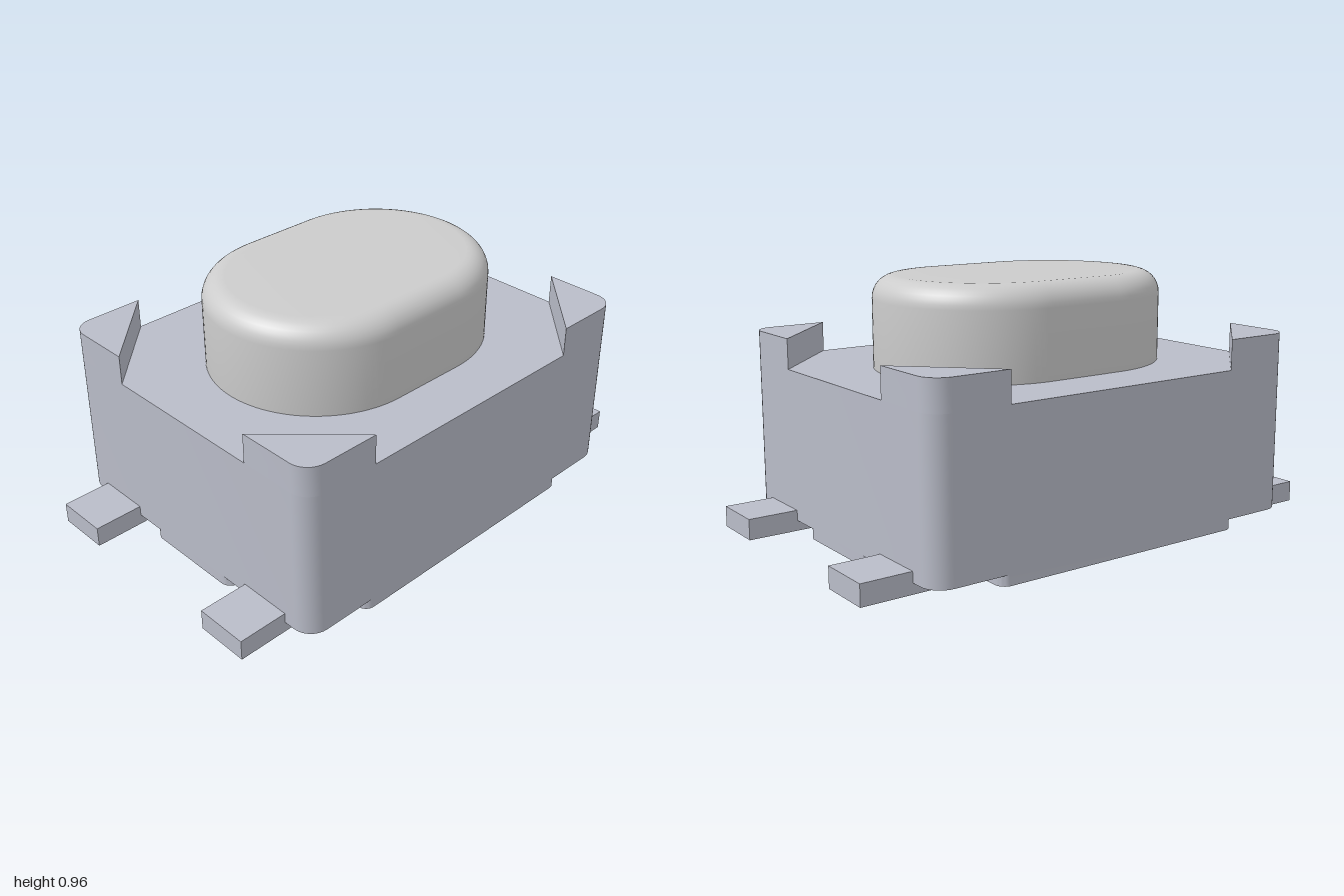
import * as THREE from 'three';
import { toCreasedNormals } from 'three/addons/utils/BufferGeometryUtils.js';

const housing = new THREE.MeshStandardMaterial({ color: 0xb9bcc8 });
const grey = new THREE.MeshStandardMaterial({ color: 0xcccccc });

// Closed outline from [x, z, radius] corners, with rounded right angles
function outline(corners, PathType = THREE.Shape) {
  const path = new PathType();
  const n = corners.length;
  const k = 0.4477;
  corners.forEach(([x, z, r = 0], i) => {
    const c = new THREE.Vector2(x, -z);
    const toward = (j, d) => {
      const [px, pz] = corners[(j + n) % n];
      return new THREE.Vector2(px, -pz).sub(c).setLength(d).add(c);
    };
    const a = toward(i - 1, r), b = toward(i + 1, r);
    if (i === 0) path.moveTo(a.x, a.y); else path.lineTo(a.x, a.y);
    if (r > 0) {
      const p = toward(i - 1, r * k), q = toward(i + 1, r * k);
      path.bezierCurveTo(p.x, p.y, q.x, q.y, b.x, b.y);
    }
  });
  path.closePath();
  return path;
}

// Upright slab between two heights
function slab(name, shape, y0, y1, material, options = {}) {
  const bevel = options.bevelThickness || 0;
  const geo = new THREE.ExtrudeGeometry(shape, {
    depth: y1 - y0 - 2 * bevel, curveSegments: 8, bevelEnabled: false, ...options,
  });
  geo.rotateX(-Math.PI / 2);
  geo.translate(0, y0 + bevel, 0);
  const mesh = new THREE.Mesh(toCreasedNormals(geo, 0.6), material);
  mesh.name = name;
  return mesh;
}

const rectangle = (x, z, hx, hz, r = 0) =>
  [[x - hx, z - hz, r], [x + hx, z - hz, r], [x + hx, z + hz, r], [x - hx, z + hz, r]];

export function createModel() {
  const group = new THREE.Group();
  const X = 0.805, Z = 0.645;

  // Main housing block
  group.add(slab('housing', outline(rectangle(0, 0, X, Z, 0.08)), 0.04, 0.615, housing));

  // Base plate, cut away at the corners, with shallow moulding pockets
  const quarter = [[0.54, Z, 0.04], [0.54, 0.22, 0.05], [X, 0.22, 0.045]];
  const flip = (sx, sz) => quarter.map(([x, z, r]) => [sx * x, sz * z, r]);
  const plate = outline([
    ...flip(1, 1), ...flip(1, -1).reverse(), ...flip(-1, -1), ...flip(-1, 1).reverse(),
  ]);
  const pockets = [
    [0.41, -0.09], [0.41, 0.11], [-0.02, 0.15], [-0.02, -0.03],
    [-0.02, 0.45], [-0.02, -0.38], [-0.47, -0.02], [-0.47, 0.18],
  ];
  for (const [x, z] of pockets) {
    plate.holes.push(outline(rectangle(x, z, 0.06, 0.045), THREE.Path));
  }
  group.add(slab('basePlate', plate, 0, 0.04, housing));

  for (const sx of [-1, 1]) {
    for (const sz of [-1, 1]) {
      // Raised triangular corner posts
      const corner = [[sx * 0.5, sz * Z], [sx * X, sz * Z, 0.08], [sx * X, sz * 0.34]];
      group.add(slab('cornerPost', outline(corner), 0.615, 0.73, housing));

      // Flat solder legs
      const leg = new THREE.Mesh(new THREE.BoxGeometry(0.47, 0.08, 0.21), housing);
      leg.position.set(sx * 0.765, 0.04, sz * 0.415);
      leg.name = 'leg';
      group.add(leg);
    }
  }

  // Oblong push button with a rounded top edge
  const round = 0.085, R = 0.42 - round, half = 0.155;
  const oblong = new THREE.Shape();
  oblong.absarc(half, 0, R, -Math.PI / 2, Math.PI / 2);
  oblong.absarc(-half, 0, R, Math.PI / 2, Math.PI * 1.5);
  oblong.closePath();
  group.add(slab('button', oblong, 0.5, 0.96, grey, {
    curveSegments: 28, bevelEnabled: true, bevelThickness: round, bevelSize: round, bevelSegments: 8,
  }));

  return group;
}
